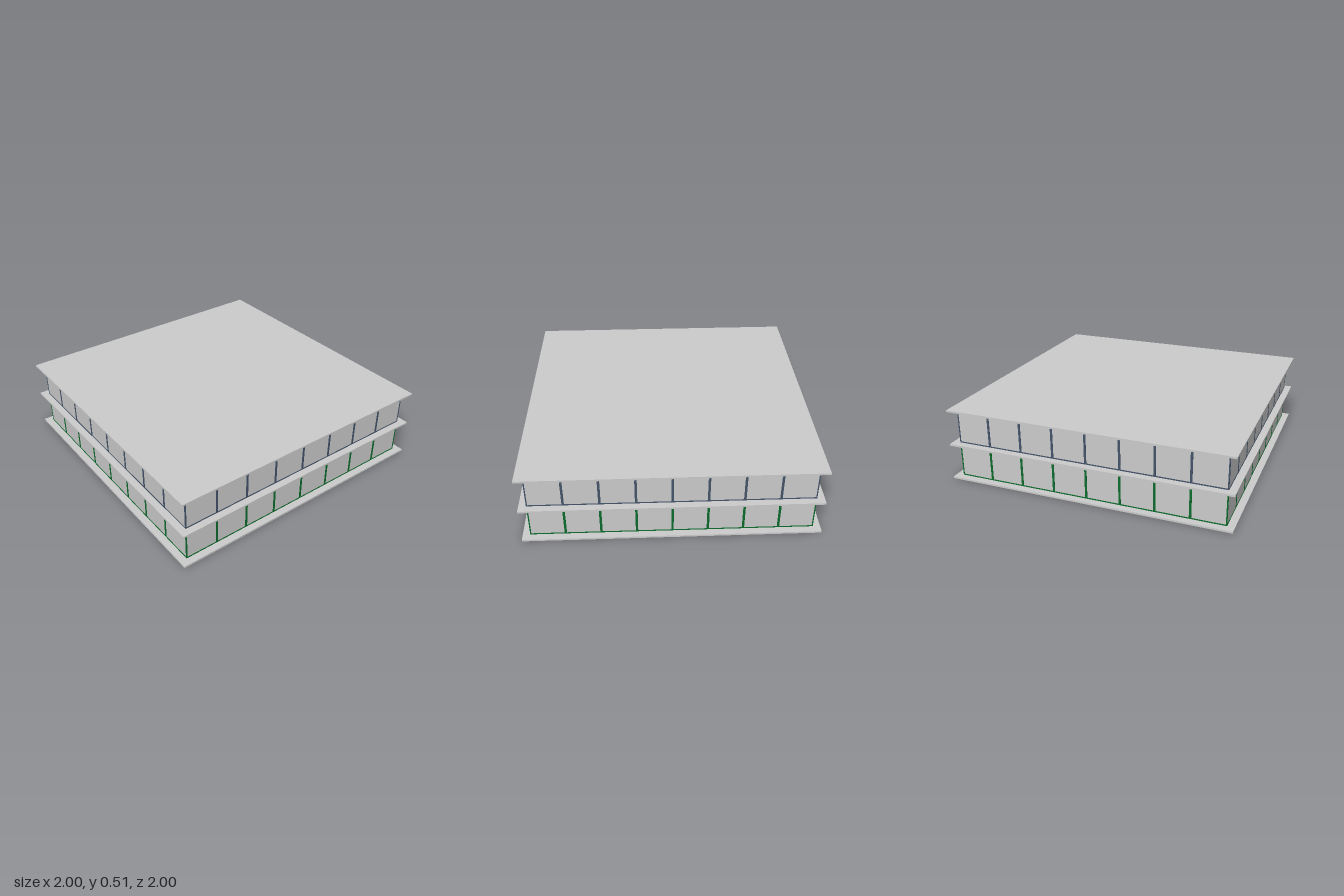
import * as THREE from 'three';

const SLAB = 0.013;        // slab thickness
const PANEL = 0.2375;      // square facade panel
const BAR = 0.008;         // frame bar width
const DEPTH = 0.008;       // frame depth
const COUNT = 8;           // panels per side
const HALF = PANEL * COUNT / 2;

function mesh(name, geometry, material) {
  const m = new THREE.Mesh(geometry, material);
  m.name = name;
  return m;
}

// Square frame with a rectangular opening, centred on its own origin
function frameGeometry() {
  const h = PANEL / 2, i = h - BAR;
  const shape = new THREE.Shape([
    new THREE.Vector2(-h, -h), new THREE.Vector2(h, -h),
    new THREE.Vector2(h, h), new THREE.Vector2(-h, h),
  ]);
  shape.holes.push(new THREE.Path([
    new THREE.Vector2(-i, -i), new THREE.Vector2(-i, i),
    new THREE.Vector2(i, i), new THREE.Vector2(i, -i),
  ]));
  return new THREE.ExtrudeGeometry(shape, { depth: DEPTH, bevelEnabled: false })
    .translate(0, 0, -DEPTH / 2);
}

export function createModel() {
  const model = new THREE.Group();
  model.name = 'pavilion';
  const grey = new THREE.MeshStandardMaterial({ color: 0xcccccc });
  const green = new THREE.MeshStandardMaterial({ color: 0x0b6b2b });
  const blue = new THREE.MeshStandardMaterial({ color: 0x44546a });

  // Ground slab, upper floor and roof
  const slab = new THREE.BoxGeometry(2, SLAB, 2);
  ['groundSlab', 'upperFloor', 'roof'].forEach((name, i) => {
    const m = mesh(name, slab, grey);
    m.position.y = SLAB / 2 + i * (PANEL + SLAB);
    model.add(m);
  });

  // Two storeys of framed panels on all four sides
  const frame = frameGeometry();
  const pane = new THREE.BoxGeometry(PANEL - 2 * BAR, PANEL - 2 * BAR, DEPTH / 2);
  [['groundStorey', green], ['upperStorey', blue]].forEach(([name, color], level) => {
    const storey = new THREE.Group();
    storey.name = name;
    storey.position.y = SLAB + PANEL / 2 + level * (PANEL + SLAB);
    ['front', 'left', 'back', 'right'].forEach((side, s) => {
      const wall = new THREE.Group();
      wall.name = side + 'Wall';
      wall.rotation.y = s * Math.PI / 2;
      for (let i = 0; i < COUNT; i++) {
        const panel = new THREE.Group();
        panel.name = 'windowPanel';
        panel.position.set(-HALF + (i + 0.5) * PANEL, 0, HALF - DEPTH / 2);
        panel.add(mesh('windowFrame', frame, color), mesh('windowPane', pane, grey));
        wall.add(panel);
      }
      storey.add(wall);
    });
    model.add(storey);
  });
  return model;
}
